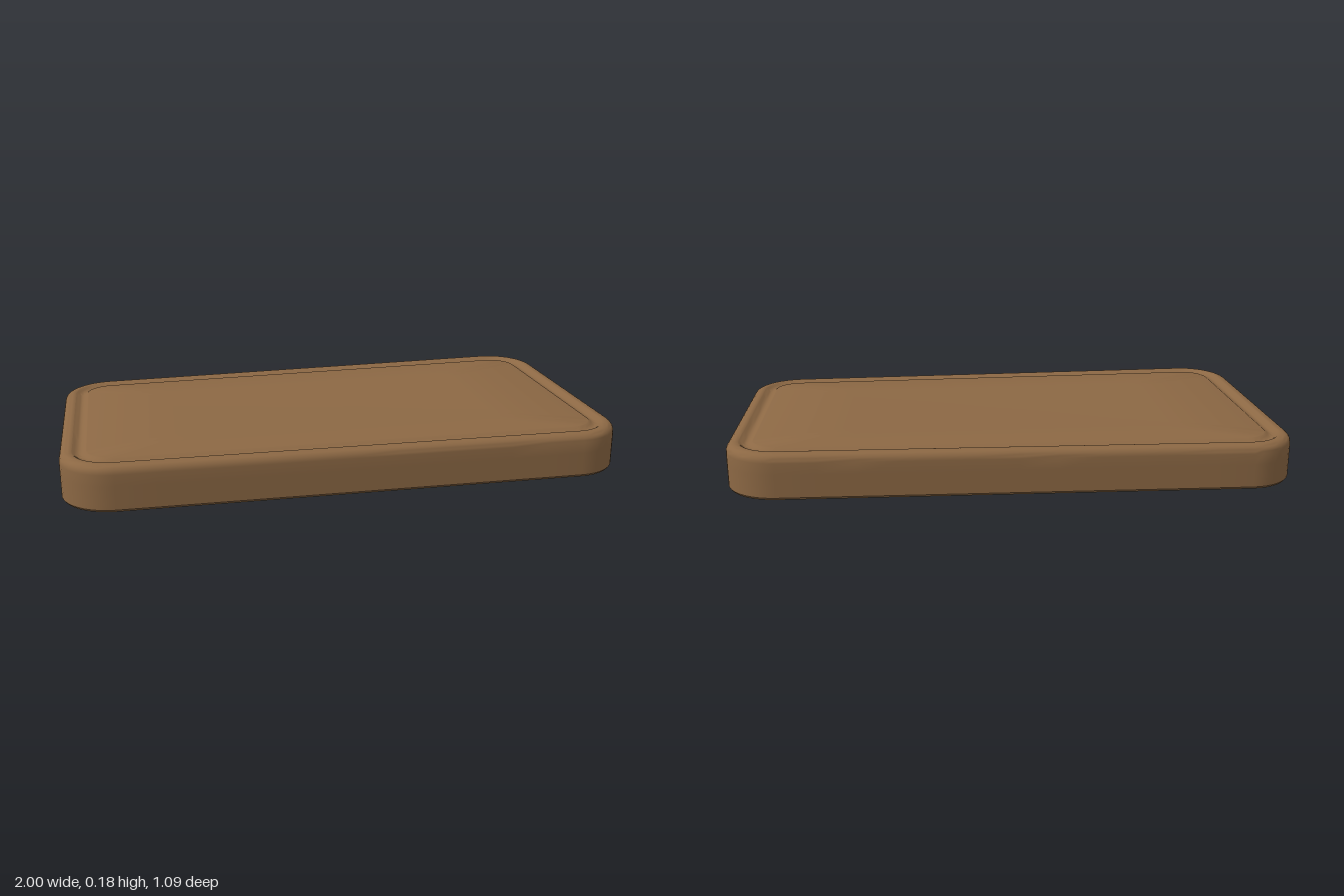
import * as THREE from 'three';
import { toCreasedNormals } from 'three/addons/utils/BufferGeometryUtils.js';

const HX = 1, HZ = 0.545, R = 0.18, T = 0.16; // half length, half width, corner radius, thickness
const NOTCH_DEPTH = 0.07, NOTCH_H = 0.054;

// The wood is slightly warped: two opposite corners lift.
function warp(x, z) {
  const u = (x / HX + 1) / 2, v = (z / HZ + 1) / 2;
  return 0.027 * u * (1 - v) + 0.01 * (1 - u) * v;
}

// Outline samples: centre (cx, cz), outward normal (nx, nz), notch flag and height.
function outline() {
  const pts = [];
  const ex = HX - R, ez = HZ - R;
  // distance along the end, height of the notch there (rounded upper corners)
  const half = [[0.05, 1], [0.15, 1], [0.22, 1], [0.235, 0.95], [0.243, 0.82], [0.248, 0.55]];
  const end = [];
  half.forEach(([z, k]) => end.push([z, k, 1], [-z, k, 1]));
  [0.251, 0.31, ez].forEach(z => end.push([z, 1, 0], [-z, 1, 0]));
  end.sort((a, b) => a[0] - b[0]);

  const addEnd = s => end.forEach(([z, k, n]) =>
    pts.push({ cx: s * ex, cz: s * z, nx: s, nz: 0, notch: n, h: NOTCH_H * k }));
  const addCorner = (sx, sz, start) => {
    for (let i = 1; i < 10; i++) {
      const a = start + (i / 10) * Math.PI / 2;
      pts.push({ cx: sx * ex, cz: sz * ez, nx: Math.cos(a), nz: Math.sin(a), notch: 0, h: NOTCH_H });
    }
  };
  const addLong = s => {
    for (let i = 0; i <= 12; i++) {
      pts.push({ cx: s * ex * (1 - i / 6), cz: s * ez, nx: 0, nz: s, notch: 0, h: NOTCH_H });
    }
  };
  addEnd(1);
  addCorner(1, 1, 0);
  addLong(1);
  addCorner(-1, 1, Math.PI / 2);
  addEnd(-1);
  addCorner(-1, -1, Math.PI);
  addLong(-1);
  addCorner(1, -1, Math.PI * 1.5);
  return pts;
}

// Rings from the middle of the underside, around the edge, to the middle of the top.
function profile() {
  const rings = [];
  const ring = (inset, y, o = {}) => rings.push({ inset, y, scale: 1, cut: 0, frac: null, ...o });
  // underside
  [0.3, 0.65].forEach(scale => ring(0.006, 0, { scale, cut: 1 }));
  // lower wall: [fraction of notch height, depth of cut]
  [[0, 1], [0.15, 1], [0.5, 1], [0.72, 0.95], [0.88, 0.82], [0.97, 0.6], [0.985, 0.1], [1.02, 0]]
    .forEach(([frac, cut], i) => ring(i === 0 ? 0.006 : 0, 0, { frac, cut }));
  // upper wall and rounded rim
  ring(0, 0.09);
  const r = 0.03;
  for (let i = 0; i <= 6; i++) {
    const a = (i / 6) * Math.PI / 2;
    ring(r * (1 - Math.cos(a)), T - r + r * Math.sin(a));
  }
  // juice groove
  ring(0.042, T);
  for (let i = 0; i <= 6; i++) {
    const t = i / 6;
    ring(0.044 + 0.046 * t, T - 0.001 - 0.011 * Math.sin(Math.PI * t));
  }
  ring(0.093, T);
  // cutting surface
  [0.65, 0.3].forEach(scale => ring(0.093, T, { scale }));
  return rings;
}

function boardGeometry() {
  const pts = outline(), rings = profile(), n = pts.length;
  const pos = [], index = [];
  const put = (x, y, z) => pos.push(x, y + warp(x, z), z);

  for (const g of rings) {
    for (const p of pts) {
      const reach = R - g.inset - p.notch * g.cut * NOTCH_DEPTH;
      const y = g.frac === null ? g.y : g.frac * p.h;
      put((p.cx + p.nx * reach) * g.scale, y, (p.cz + p.nz * reach) * g.scale);
    }
  }
  for (let i = 0; i < rings.length - 1; i++) {
    for (let j = 0; j < n; j++) {
      const k = (j + 1) % n;
      const a = i * n + j, b = i * n + k, c = a + n, d = b + n;
      index.push(a, c, b, b, c, d);
    }
  }
  // close the underside and the top
  const low = rings.length * n, high = low + 1, last = (rings.length - 1) * n;
  put(0, 0, 0);
  put(0, T, 0);
  for (let j = 0; j < n; j++) {
    const k = (j + 1) % n;
    index.push(low, j, k, high, last + k, last + j);
  }
  const geo = new THREE.BufferGeometry();
  geo.setAttribute('position', new THREE.Float32BufferAttribute(pos, 3));
  geo.setIndex(index);
  return toCreasedNormals(geo, 0.6);
}

export function createModel() {
  const wood = new THREE.MeshStandardMaterial({ color: 0x8c6844 });
  wood.name = 'wood';
  const group = new THREE.Group();
  group.name = 'cuttingBoard';
  const board = new THREE.Mesh(boardGeometry(), wood);
  board.name = 'board';
  group.add(board);
  return group;
}
